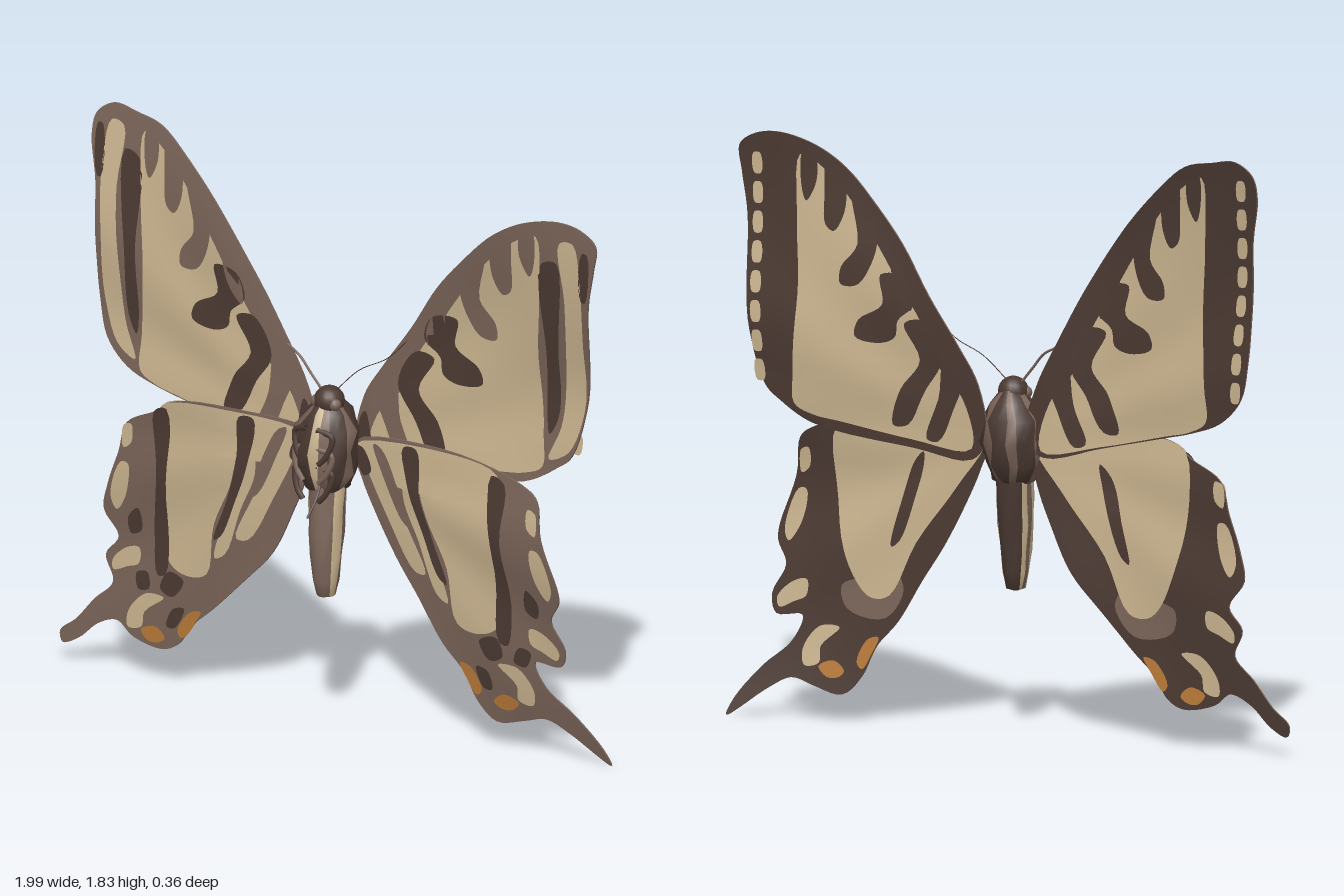
import * as THREE from 'three';
import { mergeVertices } from 'three/addons/utils/BufferGeometryUtils.js';

const paint = (name, color) => {
  const m = new THREE.MeshStandardMaterial({ color, side: THREE.DoubleSide });
  m.name = name;
  return m;
};
const CREAM = paint('cream', 0xcbb590), BROWN = paint('brown', 0x7a6458);
const DARK = paint('darkBrown', 0x4b3932), ORANGE = paint('orange', 0xb97a38);

const { smoothstep } = THREE.MathUtils;

// Closed smooth outline from points in hundredths of a unit
const outline = (flat) => {
  const pts = [];
  for (let i = 0; i < flat.length; i += 2) pts.push(new THREE.Vector3(flat[i] / 100, flat[i + 1] / 100, 0));
  return new THREE.CatmullRomCurve3(pts, true).getPoints(pts.length * 5).slice(0, -1).map((p) => [p.x, p.y]);
};

// Keep the part of a polygon on one side of an axis line
const clip = (poly, axis, limit, sign) => {
  const out = [];
  poly.forEach((p, i) => {
    const q = poly[(i + 1) % poly.length];
    const a = (p[axis] - limit) * sign, b = (q[axis] - limit) * sign;
    if (a >= 0) out.push(p);
    if (a * b < 0) out.push([0, 1].map((k) => p[k] + (q[k] - p[k]) * a / (a - b)));
  });
  return out;
};

// Bend of each wing: z as a function of x and y
const bend = (x, y) => {
  const ax = Math.abs(x), angle = Math.atan2(y - 0.9, ax);
  const ripple = 0.005 * Math.sin(angle * 14) * smoothstep(ax, 0.1, 0.6);
  if (x < 0) {
    return 0.045 * smoothstep(ax, 0.04, 0.4) - 0.045 * Math.max(0, (y - 1.4) / 0.43) ** 2
      - 0.017 * smoothstep(0.9 - y, 0, 0.5) + ripple;
  }
  return -0.03 + 0.015 * smoothstep(y, 1.2, 1.75) + ripple
    - 0.16 * Math.max(0, (0.95 - y) / 0.95) ** 2 * smoothstep(x, 0, 1.1) - 0.02 * smoothstep(0.95 - y, 0, 0.5)
    - 0.045 * smoothstep(x, 0.1, 0.8) * (1 - smoothstep(y, 1.2, 1.75)) * smoothstep(y, 0.75, 1.0);
};

// Thin sheet cut into small cells so that it follows the bend; face +1 is the front, -1 the back
const CELL = 0.04;
function sheet(poly, lift, face) {
  const pos = [];
  const range = (pts, k) => [Math.floor(Math.min(...pts.map((p) => p[k])) / CELL), Math.ceil(Math.max(...pts.map((p) => p[k])) / CELL)];
  const [x0, x1] = range(poly, 0);
  for (let i = x0; i < x1; i++) {
    const strip = clip(clip(poly, 0, i * CELL, 1), 0, (i + 1) * CELL, -1);
    if (strip.length < 3) continue;
    const [y0, y1] = range(strip, 1);
    for (let j = y0; j < y1; j++) {
      const cell = clip(clip(strip, 1, j * CELL, 1), 1, (j + 1) * CELL, -1).map((p) => new THREE.Vector2(...p));
      if (cell.length < 3) continue;
      for (const t of THREE.ShapeUtils.triangulateShape(cell, [])) {
        const tri = t.map((k) => cell[k]);
        const area = THREE.ShapeUtils.area(tri);
        if (Math.abs(area) < 1e-9) continue;
        if (area * face < 0) tri.reverse();
        for (const p of tri) pos.push(p.x, p.y, bend(p.x, p.y) + lift);
      }
    }
  }
  const g = new THREE.BufferGeometry();
  g.setAttribute('position', new THREE.Float32BufferAttribute(pos, 3));
  const merged = mergeVertices(g, 1e-5);
  merged.computeVertexNormals();
  return merged;
}

// Narrow edge joining the front and back sheets
function rim(poly, z) {
  const pos = [], idx = [], n = poly.length;
  poly.forEach(([x, y], i) => {
    for (const s of [-1, 1]) pos.push(x, y, bend(x, y) + z + s * 0.003);
    const a = 2 * i, b = 2 * ((i + 1) % n);
    idx.push(a, b, a + 1, b, b + 1, a + 1);
  });
  const g = new THREE.BufferGeometry();
  g.setAttribute('position', new THREE.Float32BufferAttribute(pos, 3));
  g.setIndex(idx);
  g.computeVertexNormals();
  return g;
}

const add = (group, name, geometry, material) => {
  const m = new THREE.Mesh(geometry, material);
  m.name = name;
  group.add(m);
  return m;
};

// Wing outlines, each side its own
const FORE = {
  right: [-5, 91, -9, 107, -17, 123, -27, 141, -39, 158, -53, 172, -64, 180, -74, 182, -83, 183, -89, 179, -90, 172, -87, 158, -86, 137, -85, 121, -82, 109, -74, 101, -63, 97, -54, 95, -31, 90, -12, 86],
  left: [7, 91, 10, 107, 17, 118, 28, 133, 38, 148, 49, 160, 60, 170, 71, 176, 84, 179, 93, 178, 99, 174, 98, 166, 95, 153, 93, 134, 91, 118, 86, 102, 80, 97, 69, 91, 33, 86, 12, 84],
};
const HIND = {
  right: [-6, 92, -30, 96, -55, 94, -63, 89, -74, 83, -77, 73, -81, 62, -83, 53, -78, 45, -83, 38, -80, 30, -87, 23, -94, 15, -100, 10, -99, 6.5, -93, 9, -86, 15, -78, 18, -72, 14, -61, 12, -55, 15, -51, 21, -42, 29, -31, 40, -21, 51, -14, 65, -9, 77],
  left: [7, 92, 40, 96, 69, 90, 75, 86, 77, 74, 82, 59, 82, 54, 78, 47, 82, 38, 80, 32, 71, 32, 74, 24, 83, 16, 91, 6, 93, 0.5, 89, 3, 81, 9, 73, 13, 65, 11, 55, 9, 49, 15, 45, 24, 38, 32, 30, 45, 22, 57, 14, 72, 10, 81],
};

// Wing markings: [colour, layer, points]; fore on the right wing, hind on the left wing
const foreMarks = (edge) => [
  [CREAM, 1, [-70, 177, -62, 173, -52, 163, -42, 149, -35, 138, -28, 127, -22, 113, -14, 103, -11, 88, -31, 90.5, -54, 95.5, -63, 97.5, -69, 101, -69, 112, -68, 135, -70, 158]],
  [edge, 2, [-69, 178, -65, 177, -64, 169, -67, 163, -69, 168]],
  [edge, 2, [-61, 175, -55, 170, -54, 160, -57, 154, -60, 156, -61, 165]],
  [edge, 2, [-52, 165, -44, 157, -43, 148, -48, 138, -54, 138, -54, 143, -49, 150]],
  [edge, 2, [-38, 147, -31, 136, -31, 130, -36, 136]],
  [DARK, 2, [-41, 141, -33, 140, -30, 132, -35, 127, -36, 122, -41, 120, -49, 122, -48, 127, -40, 132]],
  [DARK, 2, [-33, 126, -27, 127, -21, 115, -26, 106, -32, 95, -37, 95, -34, 106, -28, 115]],
  [edge, 2, [-20, 115, -14, 110, -17, 100, -22, 90, -26, 91, -22, 103]],
];
const foreFront = [...foreMarks(BROWN),
  [CREAM, 1, [-83, 178, -78, 177, -79, 158, -77, 132, -75, 115, -71, 104, -78, 108, -83, 122, -84, 143, -85, 163]],
  [DARK, 1, [-77, 170, -71, 168, -71, 140, -70, 120, -71, 112, -74, 118, -75, 138]],
  [DARK, 1, [-88, 176, -86, 176, -85, 160, -86.5, 160]],
  [DARK, 2, [-10, 103, -8, 100, -9, 88, -13, 87, -12, 95]],
];
const foreBack = [...foreMarks(DARK)];
for (let i = 0; i < 8; i++) { // row of pale dots along the outer edge
  const x = -84.5 + i * 0.6, y = 174 - i * 9;
  foreBack.push([CREAM, 1, [x - 1.5, y + 3, x + 1, y + 3, x + 1.5, y - 3, x - 1, y - 3]]);
}
const hindEdge = [
  [CREAM, 1, [73, 70, 76, 70, 80, 58, 78, 54, 74, 60]],
  [CREAM, 1, [70, 43, 75, 42, 80, 37, 79, 34, 74, 36, 70, 38]],
  [CREAM, 1, [58, 29, 65, 29, 70, 22, 69, 17, 64, 18, 64, 23]],
  [CREAM, 1, [72, 83, 75, 82, 75, 75, 72, 77]],
  [ORANGE, 1, [44, 27, 48, 26, 51, 19, 49, 17, 46, 22]],
  [ORANGE, 1, [55, 16, 59, 19, 64, 17, 61, 14, 57, 14]],
];
const hindFront = [...hindEdge,
  [CREAM, 1, [8, 91.5, 40, 95.3, 60, 91.5, 60, 84, 33, 80, 12, 84]],
  [CREAM, 1, [33, 86, 57, 90, 60, 84, 59, 70, 59, 42, 52, 38, 44, 40, 41, 57, 34, 73]],
  [CREAM, 1, [12, 87, 20, 82, 27, 68, 33, 54, 29, 54, 20, 69]],
  [CREAM, 1, [26, 85, 30, 77, 36, 62, 41, 46, 37, 48, 31, 64, 26, 76]],
  [BROWN, 2, [15, 93, 18, 92, 24, 80, 28, 68, 25, 70, 19, 82]],
  [DARK, 2, [26, 94, 31, 94, 32, 80, 36, 66, 41, 52, 38, 54, 33, 66, 28, 80]],
  [DARK, 2, [58, 91, 63, 89, 62, 70, 64, 50, 62, 36, 59, 37, 59, 60]],
  [DARK, 2, [52, 36, 58, 38, 60, 32, 55, 30]],
  [DARK, 2, [66, 36, 70, 35, 68, 30, 64, 31]],
  [DARK, 2, [50, 27, 54, 26, 55, 20, 52, 20]],
  [DARK, 1, [70, 56, 74, 52, 73, 47, 69, 49]],
  [DARK, 2, [8, 91, 11, 91, 14, 84, 11, 82]],
];
const hindBack = [...hindEdge,
  [BROWN, 1, [50, 45, 58, 42, 56, 35, 42, 33, 36, 42, 40, 48]],
  [CREAM, 2, [8, 91, 40, 95.3, 61, 91, 61, 66, 54, 45, 48, 39, 41, 40, 32, 57, 18, 75]],
  [DARK, 3, [30, 85, 34, 81, 38, 68, 41, 55, 38, 57, 33, 70]],
];

// Carry markings to the other side, following the slightly different outlines
const same = (p) => p;
const foreToLeft = (p) => p.map((v, i) => (i % 2 ? v + 0.06 * p[i - 1] : -1.09 * v));
const hindToRight = (p) => p.map((v, i) => (i % 2 ? v : -v - 0.23 * Math.max(0, 38 - p[i + 1])));

function wing(name, edge, z, front, back, place) {
  const g = new THREE.Group();
  g.name = name;
  const poly = outline(edge);
  add(g, 'wingFront', sheet(poly, z + 0.003, 1), BROWN);
  add(g, 'wingBack', sheet(poly, z - 0.003, -1), DARK);
  add(g, 'wingEdge', rim(poly, z), BROWN);
  for (const [marks, face] of [[front, 1], [back, -1]])
    for (const [mat, layer, pts] of marks)
      add(g, 'wingMarking', sheet(outline(place(pts)), z + face * (0.003 + 0.002 * layer), face), mat);
  return g;
}

// Body skin through elliptical rings [y, cx, cz, rx, rz], one colour letter per sector from the front round
function loft(rings, sectors, lump) {
  const n = sectors.length, pos = [], idx = [], g = new THREE.BufferGeometry();
  for (const [y, cx, cz, rx, rz] of rings)
    for (let j = 0; j < n; j++) {
      const a = (j / n) * Math.PI * 2, k = 1 + lump * Math.sin(5 * a + 45 * y);
      pos.push(cx + rx * k * Math.sin(a), y, cz + rz * k * Math.cos(a));
    }
  for (let j = 0; j < n; j++) {
    g.addGroup(idx.length, (rings.length - 1) * 6, 'bdc'.indexOf(sectors[j]));
    for (let i = 0; i < rings.length - 1; i++) {
      const a = i * n + j, b = i * n + (j + 1) % n;
      idx.push(a, b, b + n, a, b + n, a + n);
    }
  }
  g.setAttribute('position', new THREE.Float32BufferAttribute(pos, 3));
  g.setIndex(idx);
  g.computeVertexNormals();
  return g;
}

const tube = (pts, r) => new THREE.TubeGeometry(new THREE.CatmullRomCurve3(pts.map((p) => new THREE.Vector3(...p))), 16, r, 6);

export function createModel() {
  const model = new THREE.Group();
  model.name = 'butterfly';
  model.add(
    wing('rightForewing', FORE.right, -0.006, foreFront, foreBack, same),
    wing('leftForewing', FORE.left, -0.006, foreFront, foreBack, foreToLeft),
    wing('rightHindwing', HIND.right, 0.009, hindFront, hindBack, hindToRight),
    wing('leftHindwing', HIND.left, 0.009, hindFront, hindBack, same),
  );

  const skins = [BROWN, DARK, CREAM];
  add(model, 'abdomen', loft([[0.432, 0.028, 0.062, 0.006, 0.006], [0.44, 0.028, 0.062, 0.028, 0.032], [0.49, 0.027, 0.062, 0.038, 0.045],
    [0.56, 0.024, 0.057, 0.046, 0.053], [0.64, 0.02, 0.05, 0.052, 0.06], [0.72, 0.014, 0.038, 0.054, 0.062], [0.82, 0.01, 0.025, 0.058, 0.062]],
  'bbbccbcdddddcbccbb', 0.05), skins);
  add(model, 'thorax', loft([[0.75, 0.01, 0.03, 0.01, 0.01], [0.78, 0.008, 0.03, 0.065, 0.065], [0.83, 0, 0.022, 0.092, 0.085], [0.9, 0, 0.018, 0.1, 0.1],
    [0.97, 0, 0.012, 0.098, 0.09], [1.02, 0.005, 0.012, 0.066, 0.068], [1.06, 0.008, 0.015, 0.03, 0.04]],
  'cbddbdddbddbddbddbdd', 0.12), skins);
  const head = add(model, 'head', new THREE.SphereGeometry(0.048, 16, 12), DARK);
  head.position.set(0.01, 1.052, 0.022);
  for (const s of [-1, 1]) {
    const eye = add(model, 'eye', new THREE.SphereGeometry(0.02, 12, 8), BROWN);
    eye.position.set(0.01 + s * 0.034, 1.05, 0.04);
    // Folded legs on the chest
    for (let i = 0; i < 3; i++) {
      const y = 0.98 - i * 0.06;
      add(model, 'leg', tube([[s * 0.02, y, 0.1], [s * 0.07, y - 0.02, 0.088], [s * 0.055, y - 0.08, 0.1], [s * 0.03, y - 0.11, 0.105]], 0.009), i === 1 ? BROWN : DARK);
    }
  }
  add(model, 'looseLeg', tube([[0.03, 0.82, 0.09], [0.035, 0.77, 0.12], [0.04, 0.72, 0.175]], 0.004), DARK);
  add(model, 'rightAntenna', tube([[-0.01, 1.07, 0.02], [-0.06, 1.13, 0.025], [-0.1, 1.175, 0.025], [-0.15, 1.2, 0.02]], 0.004), BROWN);
  add(model, 'leftAntenna', tube([[0.025, 1.08, 0.02], [0.1, 1.16, -0.01], [0.19, 1.21, -0.03], [0.28, 1.3, -0.04]], 0.0015), DARK);
  return model;
}
